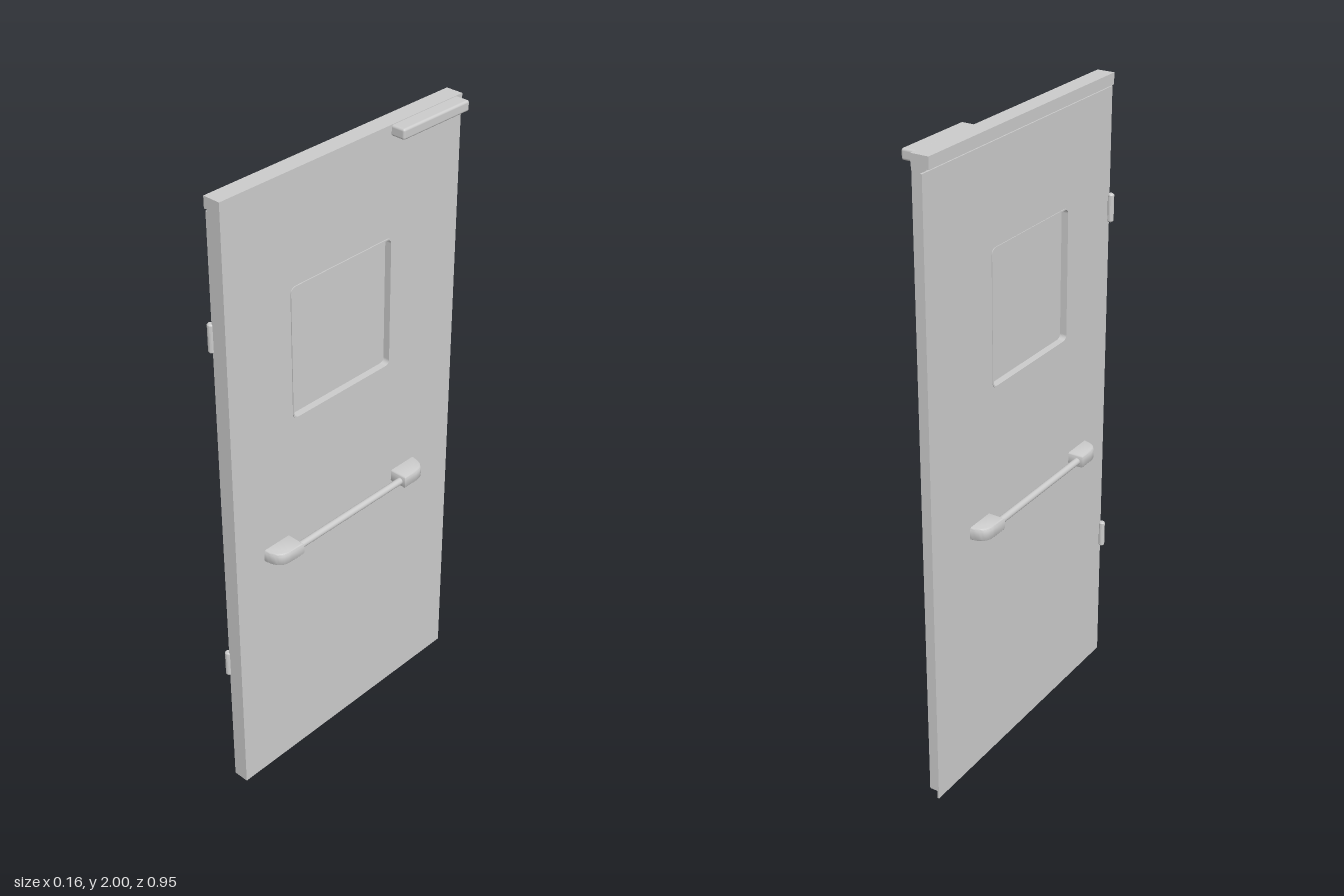
import * as THREE from 'three';
import { RoundedBoxGeometry } from 'three/addons/geometries/RoundedBoxGeometry.js';
import { toCreasedNormals } from 'three/addons/utils/BufferGeometryUtils.js';

const material = new THREE.MeshStandardMaterial({ color: 0xcccccc });

function add(parent, name, geometry, x = 0, y = 0, z = 0) {
  const mesh = new THREE.Mesh(geometry, material);
  mesh.name = name;
  mesh.position.set(x, y, z);
  parent.add(mesh);
  return mesh;
}

// Trace a rounded rectangle into a Shape or Path
function roundedRect(path, u0, v0, u1, v1, r) {
  path.moveTo(u0 + r, v0);
  path.lineTo(u1 - r, v0);
  path.absarc(u1 - r, v0 + r, r, -Math.PI / 2, 0);
  path.lineTo(u1, v1 - r);
  path.absarc(u1 - r, v1 - r, r, 0, Math.PI / 2);
  path.lineTo(u0 + r, v1);
  path.absarc(u0 + r, v1 - r, r, Math.PI / 2, Math.PI);
  path.lineTo(u0, v0 + r);
  path.absarc(u0 + r, v0 + r, r, Math.PI, Math.PI * 1.5);
  return path;
}

// Window opening; profile u runs towards -z, v is y
const windowHole = () => roundedRect(new THREE.Path(), -0.225, 1.25, 0.165, 1.66, 0.015);

// Upright sheet with the window cut out, between x0 and x1
function sheet(u0, u1, top, x0, x1) {
  const shape = new THREE.Shape();
  shape.moveTo(u0, 0).lineTo(u1, 0).lineTo(u1, top).lineTo(u0, top).closePath();
  shape.holes.push(windowHole());
  return extrudeAlongX(shape, x0, x1);
}

function extrudeAlongX(shape, x0, x1) {
  const g = new THREE.ExtrudeGeometry(shape, { depth: x1 - x0, bevelEnabled: false, curveSegments: 5 });
  return g.rotateY(Math.PI / 2).translate(x0, 0, 0);
}

// Rounded bracket holding one end of a handle bar, growing towards +x and +z
function bracketGeometry() {
  const b = 0.008;
  const shape = new THREE.Shape();
  shape.moveTo(0.01, 0.219 + b);
  shape.lineTo(0.08 - b, 0.219 + b);
  shape.lineTo(0.08 - b, 0.272);
  shape.bezierCurveTo(0.08 - b, 0.298, 0.06, 0.31, 0.026, 0.323 - b);
  shape.lineTo(0.01, 0.326 - b);
  shape.closePath();
  const g = new THREE.ExtrudeGeometry(shape, {
    depth: 0.042 - 2 * b, bevelSize: b, bevelThickness: b, bevelSegments: 4, curveSegments: 10,
  });
  g.translate(0, 0, -(0.042 - 2 * b) / 2).rotateX(Math.PI / 2);
  return toCreasedNormals(g, 0.7);
}

export function createModel() {
  const door = new THREE.Group();
  door.name = 'door';

  // Door leaf: core, outer skin reaching past the back edge, and top cap
  add(door, 'core', sheet(-0.466, 0.45, 1.965, -0.024, 0.021));
  add(door, 'outerSkin', sheet(-0.466, 0.476, 1.96, -0.03, -0.024));
  add(door, 'topCap', new THREE.BoxGeometry(0.056, 0.035, 0.919), -0.007, 1.9825, 0.0065);

  // Window: recessed pane and a thin rim on each face
  add(door, 'windowPane', new THREE.BoxGeometry(0.012, 0.42, 0.4), -0.004, 1.455, 0.03);
  const rim = roundedRect(new THREE.Shape(), -0.229, 1.246, 0.169, 1.664, 0.018);
  rim.holes.push(windowHole());
  add(door, 'windowRimRight', extrudeAlongX(rim, 0.021, 0.024));
  add(door, 'windowRimLeft', extrudeAlongX(rim, -0.032, -0.03));

  // Bar handles on both faces
  const bracket = bracketGeometry();
  const bar = new THREE.CylinderGeometry(0.011, 0.011, 0.46, 16).rotateX(Math.PI / 2);
  for (const side of [1, -1]) {
    const handle = new THREE.Group();
    handle.name = side > 0 ? 'handleLeft' : 'handleRight';
    handle.position.set(-0.001, 0.834, 0.0325);
    handle.rotation.y = side > 0 ? 0 : Math.PI;
    add(handle, 'handleBar', bar, 0.06);
    add(handle, 'handleBracketA', bracket);
    add(handle, 'handleBracketB', bracket).rotation.x = Math.PI;
    door.add(handle);
  }

  // Door closer housing at the top
  add(door, 'closer', new RoundedBoxGeometry(0.05, 0.032, 0.27, 4, 0.007), 0.041, 1.983, -0.297);

  // Hinge knuckles on the front edge
  const knuckle = new THREE.LatheGeometry([
    [0, -0.044], [0.007, -0.044], [0.01, -0.04], [0.01, 0.04], [0.007, 0.044], [0, 0.044],
  ].map(([r, y]) => new THREE.Vector2(r, y)), 16);
  const hinge = toCreasedNormals(knuckle, 0.6);
  for (const y of [0.46, 1.592]) add(door, 'hinge', hinge, -0.036, y, 0.464);

  return door;
}
